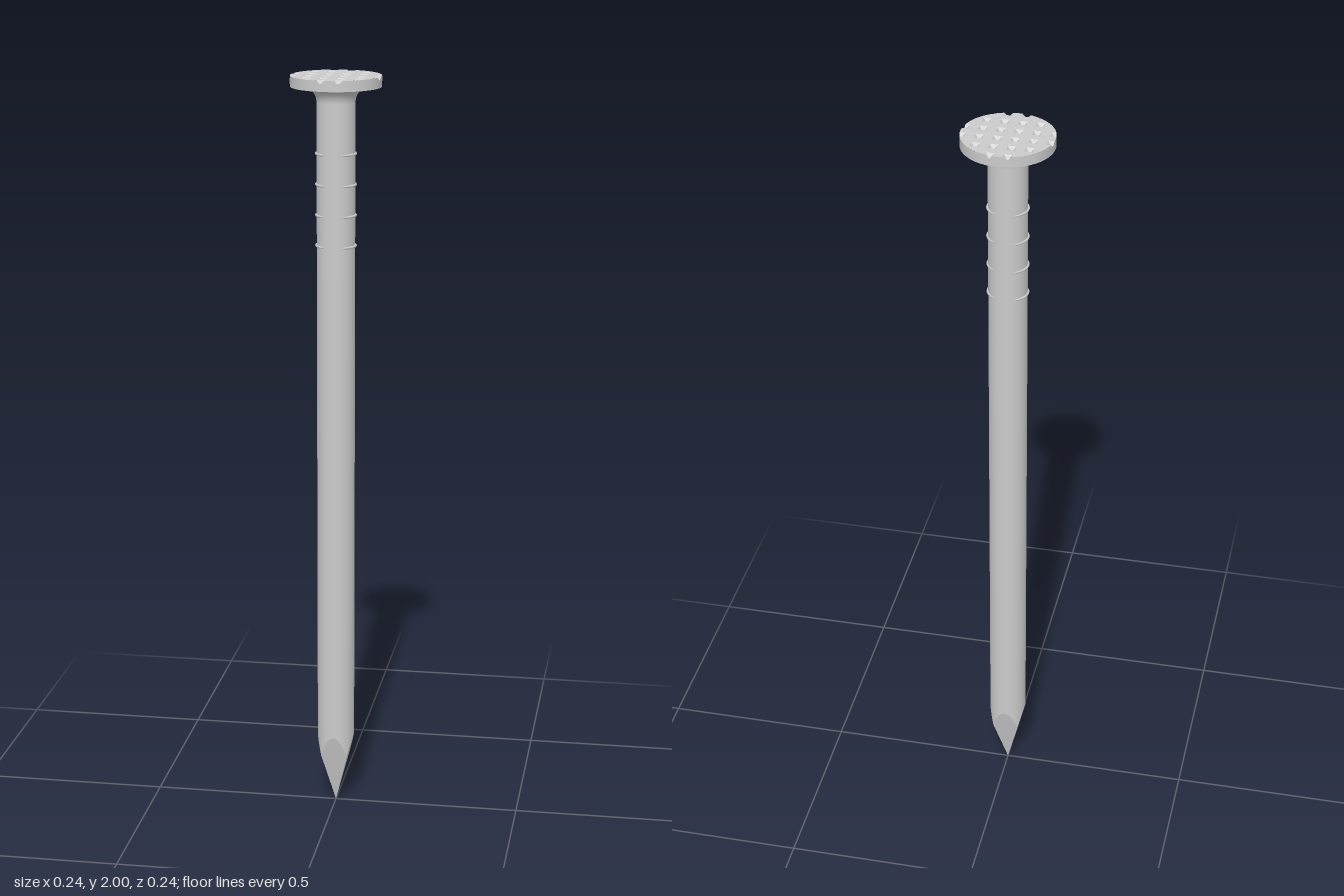
import * as THREE from 'three';

const N = 64;              // sides of shaft and head
const SHAFT_R = 0.05, TIP_H = 0.2;
const HEAD_R = 0.118, HEAD_Y = 1.972, TOP_Y = 2;
const PITCH = 0.045, PIT = 0.011, PIT_DEPTH = 0.011;

const material = new THREE.MeshStandardMaterial({ color: 0xcccccc, roughness: 0.6 });

function addMesh(group, name, geometry) {
  const mesh = new THREE.Mesh(geometry, material);
  mesh.name = name;
  group.add(mesh);
  return mesh;
}

function fromTriangles(points) {
  const geometry = new THREE.BufferGeometry().setFromPoints(points);
  geometry.computeVertexNormals();
  return geometry;
}

// Height at which the four-sided point meets the round shaft
const tipEdge = (x, z) => TIP_H * Math.max(Math.abs(x), Math.abs(z)) / SHAFT_R;

// Round shaft, flaring into the underside of the head
function shaftGeometry() {
  const profile = [new THREE.Vector2(SHAFT_R, TIP_H), new THREE.Vector2(SHAFT_R, 1.5)];
  const flare = 0.04;
  for (let i = 0; i <= 8; i++) {
    const a = (i / 8) * Math.PI / 2;
    profile.push(new THREE.Vector2(
      SHAFT_R + flare * (1 - Math.cos(a)), HEAD_Y - flare + flare * Math.sin(a)));
  }
  profile.push(new THREE.Vector2(HEAD_R, HEAD_Y));
  const geometry = new THREE.LatheGeometry(profile, N);
  const p = geometry.attributes.position;
  for (let i = 0; i < p.count; i++) {
    if (p.getY(i) < TIP_H + 0.001) p.setY(i, tipEdge(p.getX(i), p.getZ(i)));
  }
  return geometry;
}

// Four flat faces cut to a point
function tipGeometry() {
  const edge = (i) => {
    const a = (i / N) * Math.PI * 2;
    const x = SHAFT_R * Math.sin(a), z = SHAFT_R * Math.cos(a);
    return new THREE.Vector3(x, tipEdge(x, z), z);
  };
  const points = [];
  for (let i = 0; i < N; i++) points.push(new THREE.Vector3(), edge(i + 1), edge(i));
  return fromTriangles(points);
}

// Keeps the part of a convex polygon that lies inside the head outline
function clipToHead(poly) {
  const limit = HEAD_R * Math.cos(Math.PI / N);
  for (let k = 0; k < N && poly.length; k++) {
    const a = ((k + 0.5) / N) * Math.PI * 2;
    const dist = (p) => p.x * Math.sin(a) + p.z * Math.cos(a) - limit;
    const out = [];
    poly.forEach((p, i) => {
      const q = poly[(i + 1) % poly.length];
      const dp = dist(p), dq = dist(q);
      if (dp <= 0) out.push(p);
      if (dp * dq < 0) out.push(p.clone().lerp(q, dp / (dp - dq)));
    });
    poly = out;
  }
  return poly;
}

// Head top: a grid of small square pyramid pits
function headTopGeometry() {
  const points = [];
  const addPoly = (corners) => {
    const poly = clipToHead(corners);
    for (let i = 1; i < poly.length - 1; i++) points.push(poly[0], poly[i], poly[i + 1]);
  };
  for (let i = -3; i < 3; i++) {
    for (let j = -3; j < 3; j++) {
      const cx = (i + 0.5) * PITCH, cz = (j + 0.5) * PITCH;
      const corner = (k, half) => {
        const a = (k + 0.5) * Math.PI / 2, s = half * Math.SQRT2;
        return new THREE.Vector3(cx + s * Math.sin(a), TOP_Y, cz + s * Math.cos(a));
      };
      const bottom = new THREE.Vector3(cx, TOP_Y - PIT_DEPTH, cz);
      for (let k = 0; k < 4; k++) {
        addPoly([corner(k, PITCH / 2), corner(k + 1, PITCH / 2), corner(k + 1, PIT), corner(k, PIT)]);
        addPoly([corner(k, PIT), corner(k + 1, PIT), bottom]);
      }
    }
  }
  return fromTriangles(points);
}

// Head rim, notched where pits run over the edge
function headRimGeometry() {
  const SUB = 6;
  const offset = (v) => Math.abs(v - (Math.floor(v / PITCH) + 0.5) * PITCH);
  const topAt = (x, z) =>
    TOP_Y - PIT_DEPTH * Math.max(0, 1 - Math.max(offset(x), offset(z)) / PIT);
  const onRim = (i) => {
    const a = (Math.floor(i / SUB) / N) * Math.PI * 2, b = a + (Math.PI * 2) / N;
    const t = (i % SUB) / SUB;
    return [HEAD_R * THREE.MathUtils.lerp(Math.sin(a), Math.sin(b), t),
      HEAD_R * THREE.MathUtils.lerp(Math.cos(a), Math.cos(b), t)];
  };
  const positions = [], normals = [], index = [];
  for (let i = 0; i <= N * SUB; i++) {
    const [x, z] = onRim(i);
    const r = Math.hypot(x, z);
    positions.push(x, HEAD_Y, z, x, topAt(x, z), z);
    normals.push(x / r, 0, z / r, x / r, 0, z / r);
    const a = 2 * i;
    if (i < N * SUB) index.push(a, a + 2, a + 3, a, a + 3, a + 1);
  }
  const geometry = new THREE.BufferGeometry();
  geometry.setAttribute('position', new THREE.Float32BufferAttribute(positions, 3));
  geometry.setAttribute('normal', new THREE.Float32BufferAttribute(normals, 3));
  geometry.setIndex(index);
  return geometry;
}

export function createModel() {
  const nail = new THREE.Group();
  nail.name = 'nail';

  addMesh(nail, 'shaft', shaftGeometry());
  addMesh(nail, 'tip', tipGeometry());

  const head = new THREE.Group();
  head.name = 'head';
  addMesh(head, 'headTop', headTopGeometry());
  addMesh(head, 'headRim', headRimGeometry());
  nail.add(head);

  // Grip ridges on both sides, their ends sinking into the shaft
  const ridge = new THREE.TorusGeometry(0.044, 0.0035, 8, 24, Math.PI);
  ridge.rotateZ(-Math.PI / 2).rotateX(Math.PI / 2).translate(0.007, 0, 0);
  for (const side of [0, Math.PI]) {
    for (let i = 0; i < 4; i++) {
      const mesh = addMesh(nail, side ? 'rightGripRidge' : 'leftGripRidge', ridge);
      mesh.position.y = 1.56 + i * 0.08;
      mesh.rotation.y = side;
    }
  }
  return nail;
}
